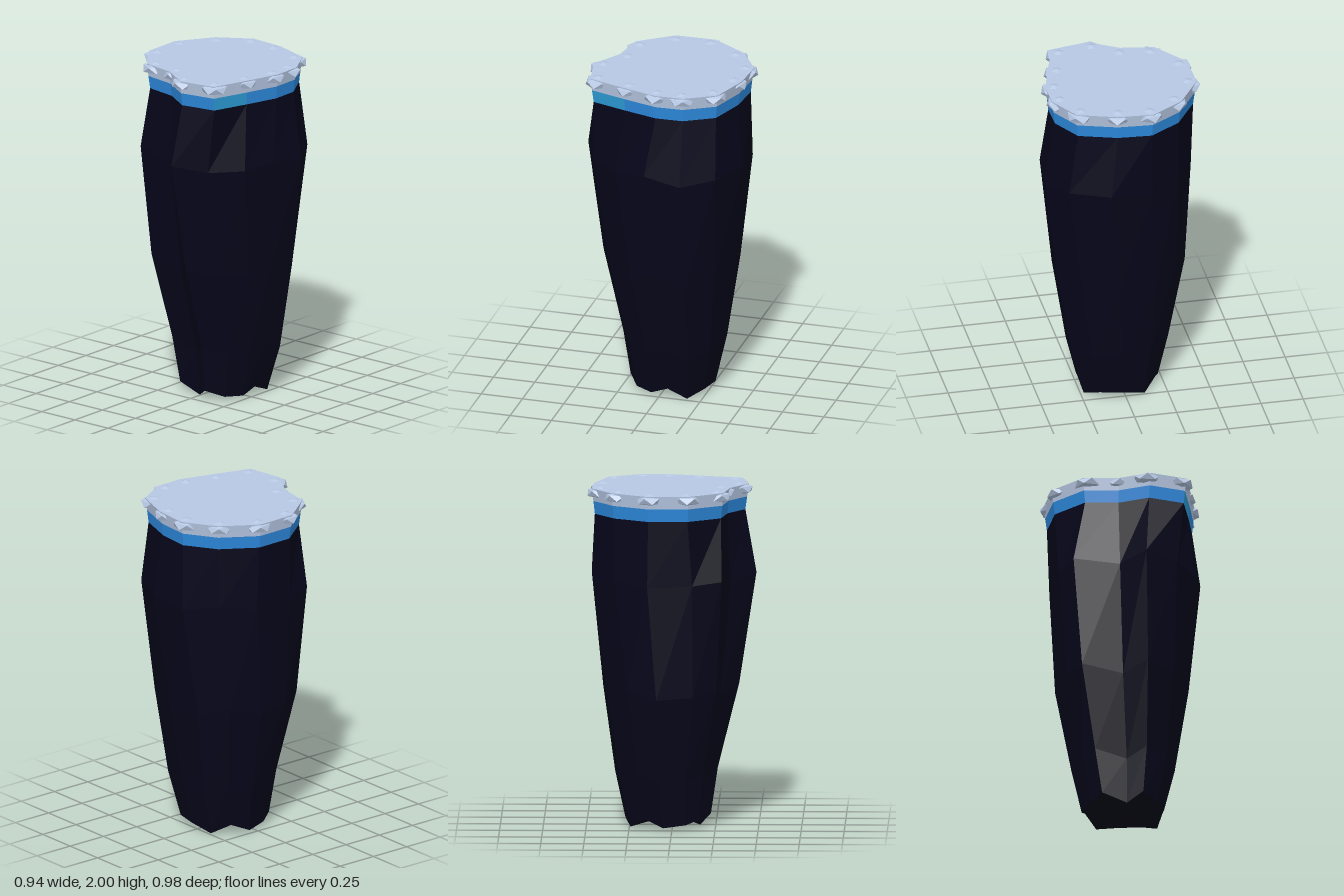
import * as THREE from 'three';

// Outlines as [x, z], counter-clockwise from above, starting at the front
const CAP = [
  [0.08, 0.44], [0.30, 0.40], [0.37, 0.18], [0.43, -0.03], [0.425, -0.2],
  [0.32, -0.38], [0.09, -0.455], [-0.12, -0.47], [-0.31, -0.35],
  [-0.445, -0.14], [-0.44, 0.10], [-0.29, 0.30], [-0.09, 0.335],
];
const BULGE = [
  [0.05, 0.485], [0.25, 0.395], [0.385, 0.22], [0.45, 0.03], [0.468, -0.19],
  [0.36, -0.375], [0.13, -0.473], [-0.12, -0.46], [-0.30, -0.33],
  [-0.41, -0.14], [-0.40, 0.12], [-0.345, 0.29], [-0.08, 0.34],
];
const N = CAP.length;

// An outline twisted, then fitted to the given x and z limits at height y
function ring(outline, y, x0, x1, z0, z1, twist = 0, rough = 0) {
  const c = Math.cos(twist), s = Math.sin(twist);
  const pts = outline.map(([x, z]) => [x * c + z * s, z * c - x * s]);
  const fit = (axis, lo, hi) => {
    const v = pts.map((p) => p[axis]);
    const a = Math.min(...v), b = Math.max(...v);
    return v.map((t) => lo + ((t - a) / (b - a)) * (hi - lo));
  };
  const xs = fit(0, x0, x1), zs = fit(1, z0, z1);
  return xs.map((x, i) => [x, y + rough * Math.sin(i * 2.4 + 1), zs[i]]);
}

// Faceted skin over stacked rings (bottom to top), with optional end fans.
// sideMaterial(i) gives the material index of each side facet.
function loft(rings, { top, bottom, sideMaterial = () => 0 }) {
  const pos = [];
  const geo = new THREE.BufferGeometry();
  const add = (mat, ...corners) => {
    geo.addGroup(pos.length / 3, corners.length, mat);
    corners.forEach((p) => pos.push(...p));
  };
  for (let r = 0; r < rings.length - 1; r++) {
    for (let i = 0; i < N; i++) {
      const j = (i + 1) % N, lo = rings[r], hi = rings[r + 1];
      add(sideMaterial(i), lo[i], lo[j], hi[j], lo[i], hi[j], hi[i]);
    }
  }
  for (let i = 0; i < N; i++) {
    const j = (i + 1) % N, last = rings[rings.length - 1];
    if (top !== undefined) add(0, [0, top, 0], last[i], last[j]);
    if (bottom !== undefined) add(0, [0, bottom, 0], rings[0][j], rings[0][i]);
  }
  geo.setAttribute('position', new THREE.Float32BufferAttribute(pos, 3));
  geo.computeVertexNormals();
  return geo;
}

function material(name, color) {
  const m = new THREE.MeshStandardMaterial({ color, flatShading: true });
  m.name = name;
  return m;
}

export function createModel() {
  const model = new THREE.Group();
  model.name = 'rockPillar';

  const rock = material('dark navy rock', 0x05051a);
  const blue = material('blue band', 0x2d8ade);
  const teal = material('light blue band', 0x2d9dd8);
  const stone = material('pale grey stone', 0xb7c8e4);

  const addMesh = (parent, name, geo, mat) => {
    const mesh = new THREE.Mesh(geo, mat);
    mesh.name = name;
    parent.add(mesh);
    return mesh;
  };

  const bandBottom = ring(CAP, 1.84, -0.425, 0.412, -0.45, 0.42);
  const bandTop = ring(CAP, 1.915, -0.435, 0.42, -0.458, 0.43);
  const capTop = ring(CAP, 1.99, -0.445, 0.43, -0.47, 0.44);

  // Tapering rock column with a ragged foot
  const column = [
    ring(BULGE, 0.03, -0.235, 0.245, -0.275, 0.22, 0.2, 0.03),
    ring(BULGE, 0.3, -0.29, 0.315, -0.335, 0.26, 0.16, 0.03),
    ring(BULGE, 0.8, -0.385, 0.39, -0.405, 0.385, 0.1, 0.03),
    ring(BULGE, 1.46, -0.41, 0.468, -0.473, 0.485, 0, 0.02),
    bandBottom,
  ];
  addMesh(model, 'rockColumn', loft(column, { bottom: 0.06 }), rock);

  // Blue band, with one lighter corner facet
  addMesh(model, 'blueBand', loft([bandBottom, bandTop], {
    sideMaterial: (i) => (i === 1 ? 1 : 0),
  }), [blue, teal]);

  // Flat stone cap
  addMesh(model, 'stoneCap', loft([bandTop, capTop], { top: 1.99 }), stone);

  // Flattened stones set into the rim, one at each corner of the cap
  const stoneGeo = new THREE.IcosahedronGeometry(1, 0);
  stoneGeo.rotateZ(Math.atan(2 / (1 + Math.sqrt(5)))); // one corner straight up
  const stones = new THREE.Group();
  stones.name = 'rimStones';
  model.add(stones);
  CAP.forEach(([x, z], i) => {
    const inset = 1 - 0.053 / Math.hypot(x, z);
    const mesh = addMesh(stones, 'rimStone', stoneGeo, stone);
    mesh.position.set(x * inset, 1.963, z * inset);
    mesh.scale.set(0.085, 0.037, 0.085);
    mesh.rotation.y = Math.atan2(x, z) + 0.5 * Math.sin(i * 1.7);
  });

  return model;
}
